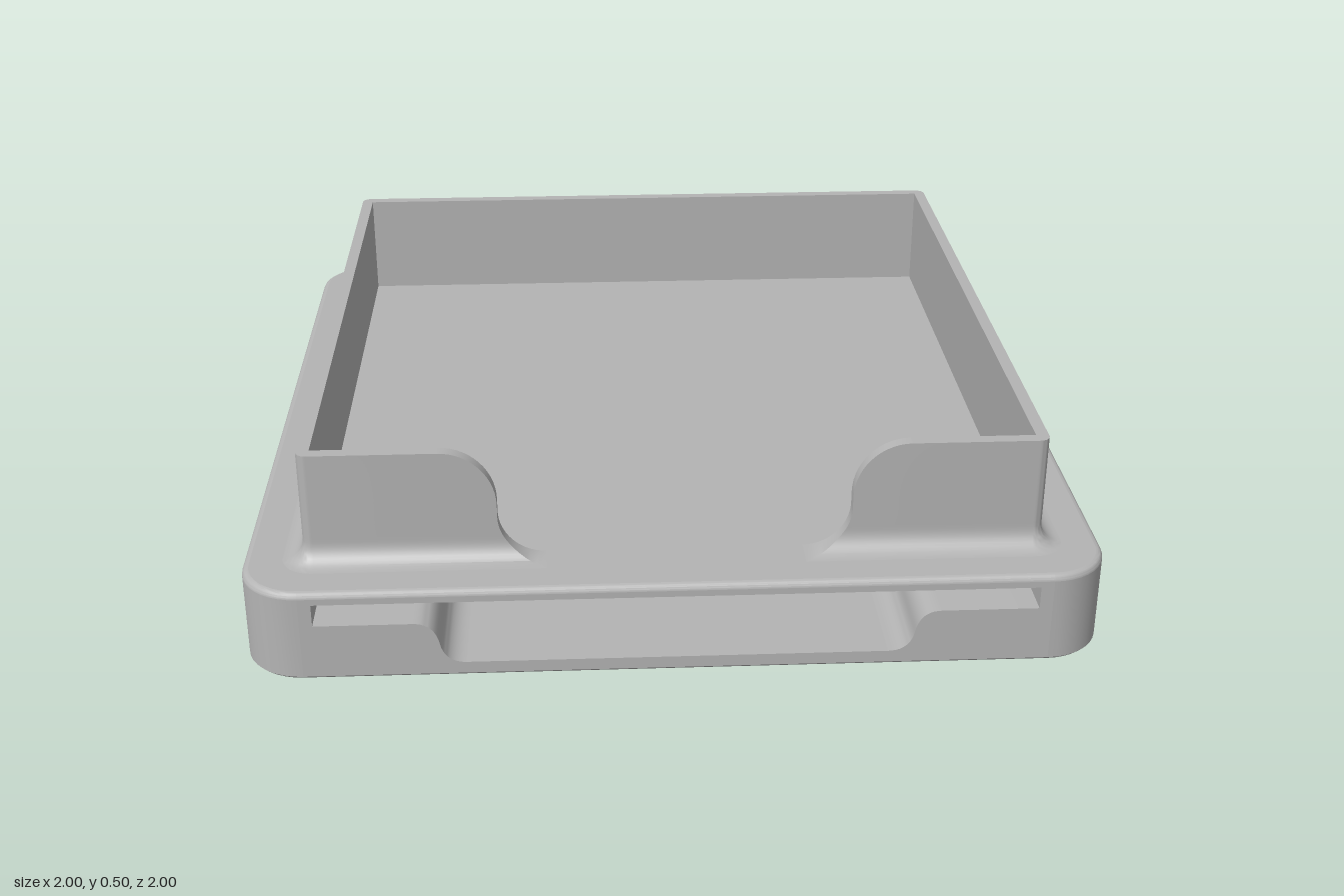
import * as THREE from 'three';
import { toCreasedNormals } from 'three/addons/utils/BufferGeometryUtils.js';

const V3 = (x, y, z) => new THREE.Vector3(x, y, z);
const V2 = (x, y) => new THREE.Vector2(x, y);
const steps = (n, f) => Array.from({ length: n + 1 }, (_, i) => f(i / n));

// Surface through rings of equal point count
function skin(rings, closed) {
  const n = rings[0].length, index = [];
  for (let i = 0; i < rings.length - 1; i++) {
    for (let j = 0; j < (closed ? n : n - 1); j++) {
      const k = (j + 1) % n;
      const a = i * n + j, b = i * n + k, c = a + n, d = b + n;
      index.push(a, b, c, b, d, c);
    }
  }
  const g = new THREE.BufferGeometry().setFromPoints(rings.flat());
  g.setIndex(index);
  return toCreasedNormals(g, 0.6);
}

// Horizontal flat face from a ring, looking up (1) or down (-1)
function flat(ring, y, up, hole) {
  const to2 = p => V2(p.x, -up * p.z);
  const shape = new THREE.Shape(ring.map(to2));
  if (hole) shape.holes.push(new THREE.Path(hole.map(to2)));
  return new THREE.ShapeGeometry(shape).rotateX(-up * Math.PI / 2).translate(0, y, 0);
}

// Rounded square outline, starting and ending on the front edge
function roundedSquare(half, r, y) {
  const c = half - r;
  return [[1, 1], [1, -1], [-1, -1], [-1, 1]].flatMap(([sx, sz], k) => steps(10, t => {
    const a = Math.PI / 2 * (1 - k - t);
    return V3(sx * c + r * Math.cos(a), y, sz * c + r * Math.sin(a));
  }));
}

// Long oval outline for the hole in the underside
function oval(y) {
  const r = 0.28, d = 0.42;
  return [-d, d].flatMap((z, k) => steps(24, t => {
    const a = -Math.PI * (k + t);
    return V3(r * Math.cos(a), y, z + r * Math.sin(a));
  }));
}

const TOP = 0.225, RIM = 0.5, FLOOR = 0.035, SLOT_BACK = -0.83;

// Slot outline, running from the right end of its floor to the left end
function slotOutline() {
  const p = new THREE.Path();
  p.moveTo(0.485, FLOOR);
  p.quadraticCurveTo(0.535, FLOOR, 0.545, 0.085);
  p.quadraticCurveTo(0.555, 0.14, 0.605, 0.14);
  p.lineTo(0.83, 0.14);
  p.lineTo(0.83, 0.195);
  const right = p.getPoints(10);
  return [...right, ...right.map(q => V2(-q.x, q.y)).reverse()];
}

// Half width of the front opening at height y
function openingAt(y) {
  if (y < 0.335) return 0.3 + 0.11 * Math.sqrt(Math.max(0, 1 - ((0.335 - y) / 0.11) ** 2));
  if (y < 0.365) return 0.41;
  return 0.54 - 0.13 * Math.sqrt(Math.max(0, 1 - ((y - 0.365) / 0.135) ** 2));
}

// C-shaped plan of the tray wall at height y, flared at its foot
function wallSection(y) {
  const R = 0.05, rise = Math.max(0, TOP + R - y);
  const flare = R - Math.sqrt(Math.max(0, R * R - rise * rise));
  const h = 0.86 + flare, n = openingAt(y), i = 0.83;
  return [
    V3(n, y, h), ...roundedSquare(h, 0.025 + flare, y), V3(-n, y, h),
    V3(-n, y, i), V3(-i, y, i), V3(-i, y, -i), V3(i, y, -i), V3(i, y, i), V3(n, y, i),
  ];
}

export function createModel() {
  const grey = new THREE.MeshStandardMaterial({ color: 0xb4b4b4, side: THREE.DoubleSide });
  grey.name = 'grey';
  const model = new THREE.Group();
  model.name = 'tray';
  const add = (name, geometry) => {
    const m = new THREE.Mesh(geometry, grey);
    m.name = name;
    model.add(m);
  };

  // Base shell with softened edges
  const level = (inset, y) => roundedSquare(1 - inset, 0.14 - inset, y);
  const round = 0.015, small = 0.006;
  const topEdge = steps(5, t => {
    const a = t * Math.PI / 2;
    return level(round * (1 - Math.cos(a)), TOP - round + round * Math.sin(a));
  });
  add('baseSides', skin([level(0, small), level(0, TOP - round)], false));
  add('baseTopEdge', skin(topEdge, true));
  add('baseBottomEdge', skin([level(small, 0), level(0, small)], true));
  add('baseTop', flat(level(round, TOP), TOP, 1));
  add('baseUnderside', flat(level(small, 0), 0, -1, oval(0)));

  // Front face pierced by the slot
  const slot = slotOutline();
  const front = new THREE.Shape([
    V2(-0.86, small), V2(0.86, small), V2(0.86, TOP - round), V2(-0.86, TOP - round)]);
  front.holes.push(new THREE.Path(slot));
  add('baseFront', new THREE.ShapeGeometry(front).translate(0, 0, 1));

  // Slot interior: sides and ceiling, back, and floor with the oval hole
  add('slotWalls', skin([1, SLOT_BACK].map(z => slot.map(p => V3(p.x, p.y, z))), false));
  add('slotBack', new THREE.ShapeGeometry(new THREE.Shape(slot)).translate(0, 0, SLOT_BACK));
  const w = slot[0].x;
  const floor = [V3(w, 0, 1), V3(w, 0, SLOT_BACK), V3(-w, 0, SLOT_BACK), V3(-w, 0, 1)];
  add('slotFloor', flat(floor, FLOOR, 1, oval(FLOOR)));
  add('undersideHole', skin([oval(FLOOR), oval(0)], true));

  // Tray wall with the curved front opening
  const heights = [
    ...steps(14, t => 0.335 - 0.11 * Math.cos(t * Math.PI / 2)),
    ...steps(14, t => 0.365 + 0.135 * Math.sin(t * Math.PI / 2)),
  ];
  add('trayWall', skin(heights.map(wallSection), true));
  add('trayRim', flat(wallSection(RIM), RIM, 1));
  return model;
}
